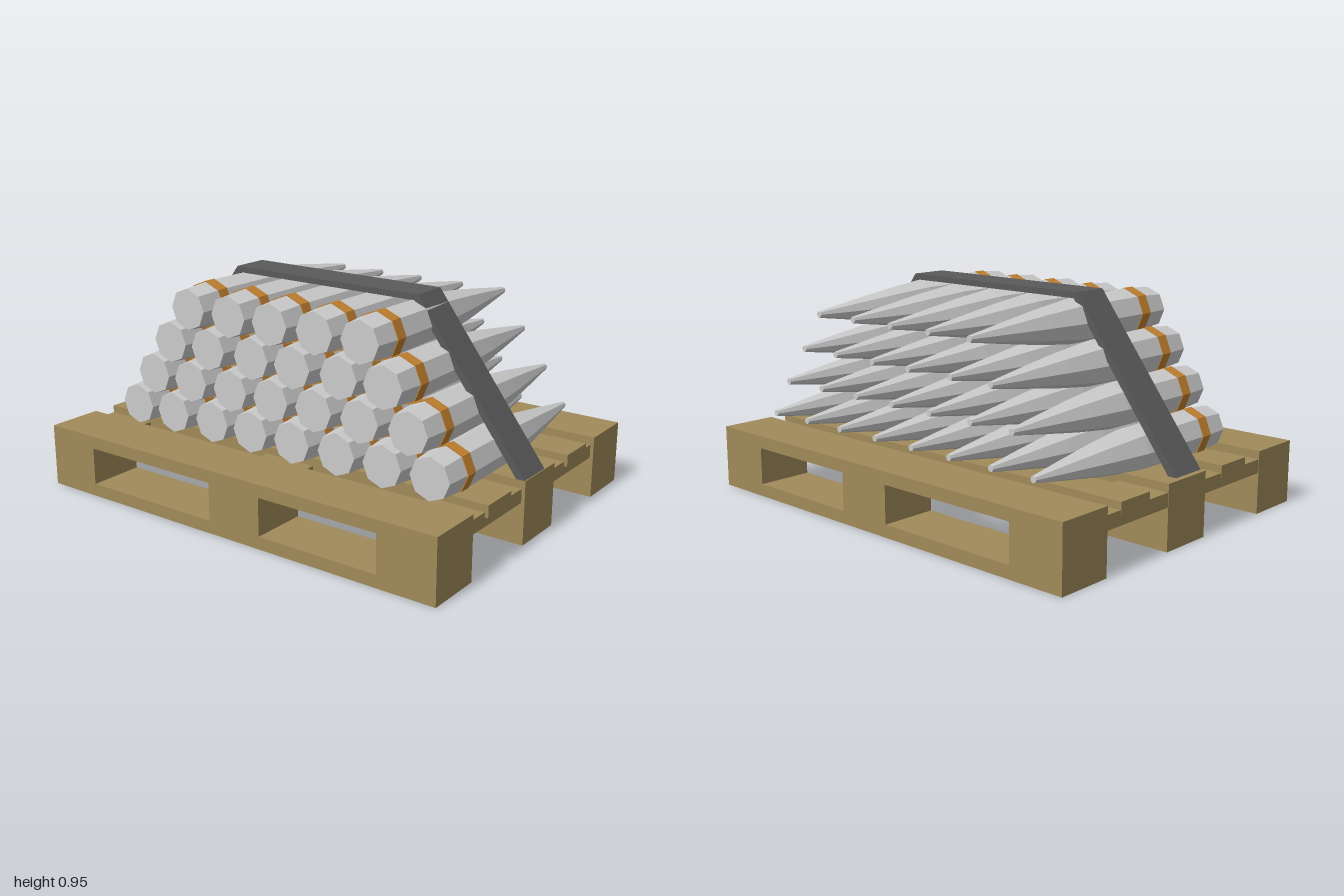
import * as THREE from 'three';

const material = (color, extra = {}) => new THREE.MeshStandardMaterial({ color, flatShading: true, ...extra });
const wood = material(0xa08a5a);
const steel = material(0xcccccc);
const orange = material(0xc08030);
const strapGrey = material(0x5a5a5a);

function add(parent, name, geometry, mat) {
  const mesh = new THREE.Mesh(geometry, mat);
  mesh.name = name;
  parent.add(mesh);
  return mesh;
}

// Box given by its limits on each axis
function boxBetween(x0, x1, y0, y1, z0, z1) {
  return new THREE.BoxGeometry(x1 - x0, y1 - y0, z1 - z0)
    .translate((x0 + x1) / 2, (y0 + y1) / 2, (z0 + z1) / 2);
}

const outline = (points) => points.map(([z, y]) => new THREE.Vector2(z, y));
const rect = (z0, z1, y0, y1) => outline([[z0, y0], [z1, y0], [z1, y1], [z0, y1]]);

// Extrudes a (z, y) outline across x from x0 to x1
function extrudeAcross(shape, x0, x1) {
  return new THREE.ExtrudeGeometry(shape, { depth: x1 - x0, bevelEnabled: false })
    .rotateY(-Math.PI / 2)
    .translate(x1, 0, 0);
}

// Octagonal solid of revolution lying along x, profile as [x, radius]
function turned(profile) {
  const points = profile.map(([x, r]) => new THREE.Vector2(r, x));
  return new THREE.LatheGeometry(points, 8).rotateZ(-Math.PI / 2);
}

function createPallet() {
  const pallet = new THREE.Group();
  pallet.name = 'pallet';

  // Three runners with two fork openings each
  for (const [x0, x1] of [[-0.765, -0.515], [-0.115, 0.135], [0.51, 0.76]]) {
    const side = new THREE.Shape(rect(-1, 1, 0, 0.275));
    for (const [z0, z1] of [[-0.75, -0.08], [0.18, 0.74]]) {
      side.holes.push(new THREE.Path(rect(z0, z1, 0.055, 0.22)));
    }
    add(pallet, 'runner', extrudeAcross(side, x0, x1), wood);
  }

  // Cross boards joining the runners
  for (const [z0, z1] of [[-0.998, -0.76], [-0.07, 0.175], [0.74, 0.985]]) {
    add(pallet, 'crossBoard', boxBetween(-0.52, 0.52, 0.18, 0.24, z0, z1), wood);
  }

  // Narrow deck slats between the runners
  for (const [x0, x1] of [[-0.405, -0.23], [0.255, 0.43]]) {
    add(pallet, 'deckSlat', boxBetween(x0, x1, 0.22, 0.272, -1, 1), wood);
  }
  return pallet;
}

function createShells() {
  const stack = new THREE.Group();
  stack.name = 'shellStack';

  const bodyGeometry = turned([
    [-0.48, 0], [-0.48, 0.09], [-0.365, 0.099], [-0.31, 0.1], [0.055, 0.096],
    [0.25, 0.073], [0.45, 0.043], [0.635, 0.014], [0.635, 0],
  ]);
  const bandGeometry = turned([
    [-0.365, 0.09], [-0.365, 0.103], [-0.31, 0.103], [-0.31, 0.09],
  ]);

  // Rows from the bottom up
  const rows = [
    { y: 0.35, z: [0.785, 0.566, 0.346, 0.12, -0.1, -0.314, -0.539, -0.753] },
    { y: 0.51, z: [0.684, 0.458, 0.233, 0.013, -0.206, -0.43, -0.646] },
    { y: 0.67, z: [0.566, 0.357, 0.126, -0.088, -0.324, -0.539] },
    { y: 0.83, z: [0.458, 0.239, 0.013, -0.206, -0.43] },
  ];
  for (const { y, z: positions } of rows) {
    for (const z of positions) {
      const shell = new THREE.Group();
      shell.name = 'shell';
      shell.position.set(0, y, z);
      add(shell, 'shellBody', bodyGeometry, steel);
      add(shell, 'shellBand', bandGeometry, orange);
      stack.add(shell);
    }
  }
  return stack;
}

export function createModel() {
  const model = new THREE.Group();
  model.name = 'shellPallet';
  model.add(createPallet(), createShells());

  // Strap bent over the stack, outer edge then inner edge
  const strap = new THREE.Shape(outline([
    [0.998, 0.272], [0.485, 0.952], [-0.465, 0.952], [-0.978, 0.272],
    [-0.94, 0.272], [-0.45, 0.926], [0.47, 0.926], [0.96, 0.272],
  ]));
  add(model, 'strap', extrudeAcross(strap, -0.115, 0.053), strapGrey);
  return model;
}
